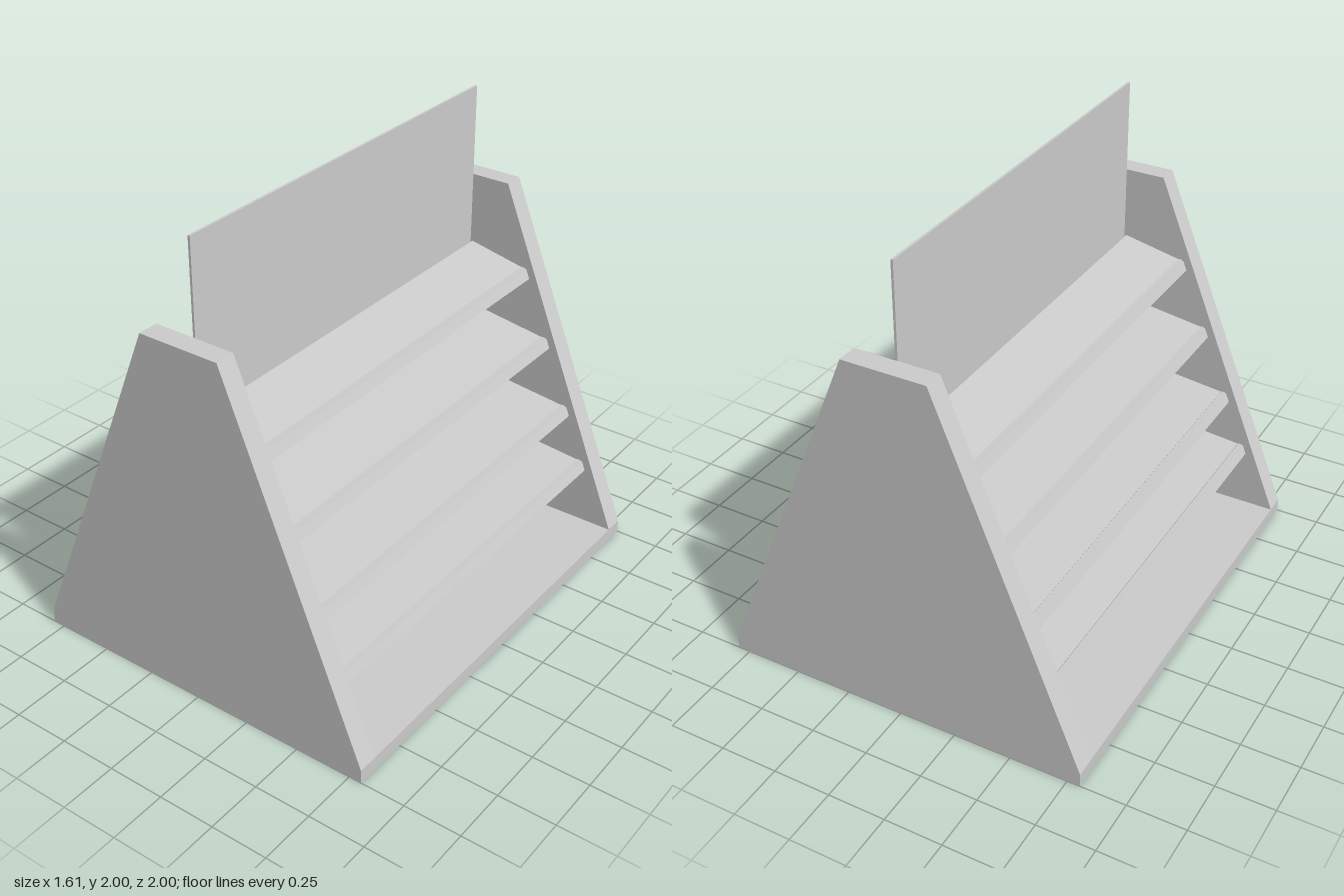
import * as THREE from 'three';

const material = new THREE.MeshStandardMaterial({ color: 0xcccccc, flatShading: true });
const HALF = 0.91; // half length between the end panels

// Extrudes an x/y outline along z from z0 to z1
function prism(name, points, z0, z1) {
  const shape = new THREE.Shape(points.map(([x, y]) => new THREE.Vector2(x, y)));
  const geometry = new THREE.ExtrudeGeometry(shape, { depth: z1 - z0, bevelEnabled: false });
  geometry.translate(0, 0, z0);
  const mesh = new THREE.Mesh(geometry, material);
  mesh.name = name;
  return mesh;
}

// Sloping shelf with a low front lip, reaching out towards +x
function createShelf(bottom) {
  const shelf = new THREE.Group();
  shelf.name = 'shelf';
  const front = 0.18 + (1.6 - bottom) * 0.403 - 0.036;
  const inner = 0.015;
  const board = prism('shelfBoard', [
    [inner, bottom + 0.055], [front, bottom],
    [front - 0.016, bottom + 0.04], [inner, bottom + 0.1],
  ], -HALF, HALF);

  const lip = prism('shelfLip', [
    [front - 0.046, bottom + 0.035], [front - 0.016, bottom + 0.04],
    [front - 0.021, bottom + 0.054], [front - 0.034, bottom + 0.054],
  ], -HALF, HALF);
  // Clip the upper corners at both ends of the lip
  const p = lip.geometry.attributes.position;
  for (let i = 0; i < p.count; i++) {
    if (p.getY(i) > bottom + 0.05) p.setZ(i, Math.sign(p.getZ(i)) * (HALF - 0.013));
  }
  lip.geometry.computeVertexNormals();
  shelf.add(board, lip);
  return shelf;
}

export function createModel() {
  const model = new THREE.Group();
  model.name = 'doubleSidedDisplayStand';

  // Tapered end panels
  const outline = [[-0.805, 0], [0.805, 0], [0.805, 0.06], [0.18, 1.6], [-0.18, 1.6], [-0.805, 0.06]];
  model.add(prism('frontEndPanel', outline, HALF, 1));
  model.add(prism('backEndPanel', outline, -1, -HALF));

  // Base between the end panels
  const base = new THREE.Mesh(new THREE.BoxGeometry(1.61, 0.06, HALF * 2), material);
  base.name = 'base';
  base.position.y = 0.03;
  model.add(base);

  // Thin upright board dividing the two sides
  const divider = new THREE.Mesh(new THREE.BoxGeometry(0.01, 1.94, HALF * 2), material);
  divider.name = 'centreBoard';
  divider.position.y = 1.03;
  model.add(divider);

  // Four shelves on each side
  for (const turn of [0, Math.PI]) {
    const side = new THREE.Group();
    side.name = turn ? 'rightShelves' : 'leftShelves';
    for (const bottom of [0.325, 0.575, 0.88, 1.185]) side.add(createShelf(bottom));
    side.rotation.y = turn;
    model.add(side);
  }
  return model;
}
